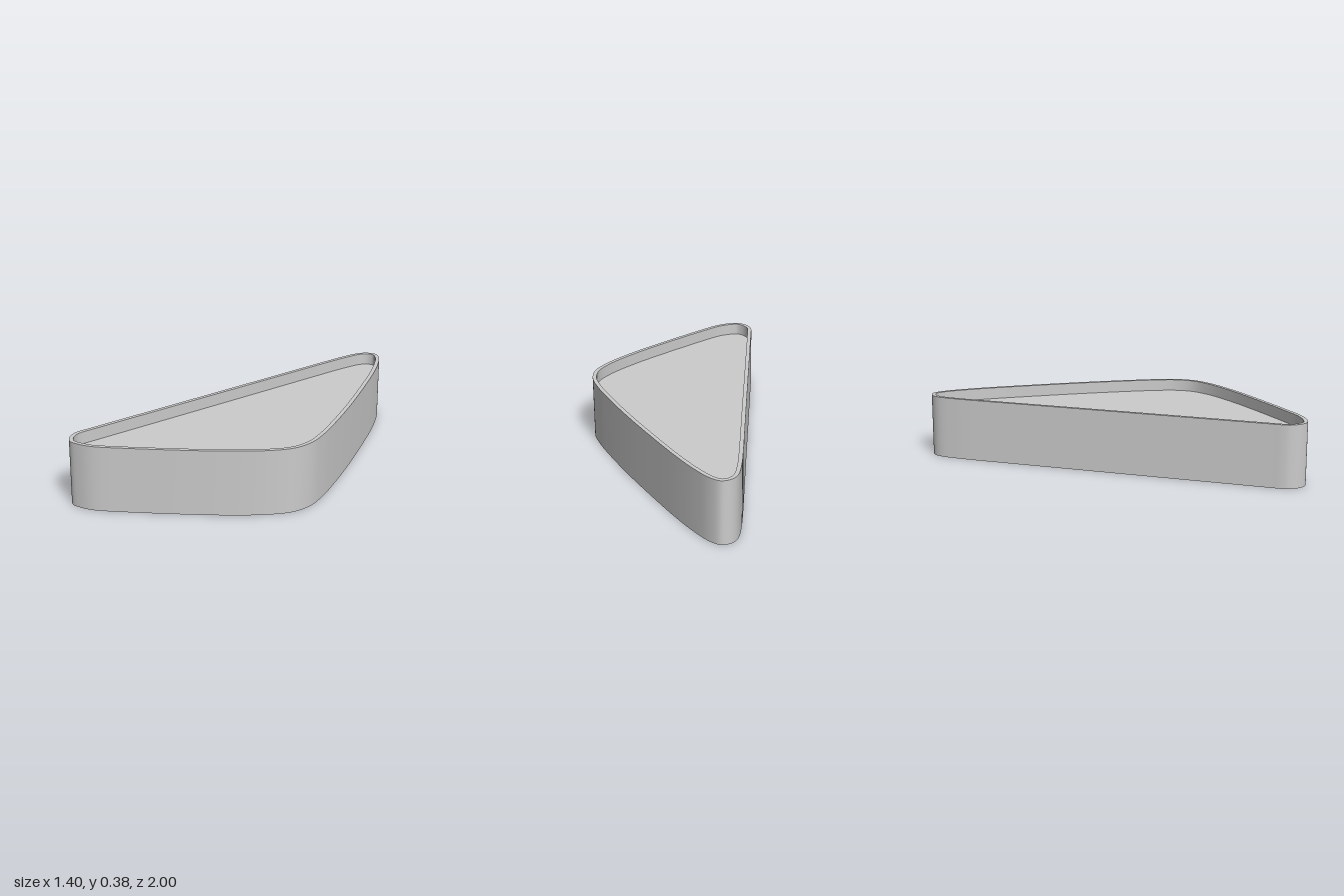
import * as THREE from 'three';

const HEIGHT = 0.38, FLOOR = 0.31, WALL = 0.024;

// Rounded triangular outline as x, z pairs, clockwise seen from above
const OUTLINE = [
  [-0.65, 0.765], [-0.6, 0.69], [0, -0.21], [0.4, -0.81], [0.45, -0.88], [0.52, -0.965],
  [0.56, -0.992], [0.6, -1], [0.645, -0.985], [0.676, -0.92], [0.693, -0.8], [0.7, -0.62],
  [0.695, -0.35], [0.68, 0], [0.655, 0.3], [0.633, 0.47], [0.6, 0.6], [0.53, 0.705],
  [0.4, 0.782], [0.2, 0.85], [0, 0.9], [-0.38, 0.978], [-0.53, 1], [-0.61, 0.99],
  [-0.67, 0.965], [-0.697, 0.91], [-0.697, 0.85], [-0.68, 0.81],
];

const material = new THREE.MeshStandardMaterial({ color: 0xcccccc });

// Closed strip between two loops of the same length
function strip(a, ya, b, yb) {
  const n = a.length, pos = [], index = [];
  a.forEach((p) => pos.push(p.x, ya, p.y));
  b.forEach((p) => pos.push(p.x, yb, p.y));
  for (let i = 0; i < n; i++) {
    const j = (i + 1) % n;
    index.push(i, n + i, j, j, n + i, n + j);
  }
  const g = new THREE.BufferGeometry();
  g.setAttribute('position', new THREE.Float32BufferAttribute(pos, 3));
  g.setIndex(index);
  g.computeVertexNormals();
  return g;
}

// Flat filled face, facing up or down
function cap(loop, y, up) {
  const s = up ? -1 : 1;
  const shape = new THREE.Shape(loop.map((p) => new THREE.Vector2(p.x, s * p.y)));
  return new THREE.ShapeGeometry(shape).rotateX(s * Math.PI / 2).translate(0, y, 0);
}

export function createModel() {
  const curve = new THREE.CatmullRomCurve3(
    OUTLINE.map(([x, z]) => new THREE.Vector3(x, 0, z)), true, 'centripetal');
  const outer = [], inner = [], n = OUTLINE.length * 5;
  for (let i = 0; i < n; i++) {
    const p = curve.getPoint(i / n), t = curve.getTangent(i / n);
    outer.push(new THREE.Vector2(p.x, p.z));
    inner.push(new THREE.Vector2(p.x - t.z * WALL, p.z + t.x * WALL));
  }

  const group = new THREE.Group();
  group.name = 'triangularTray';
  const add = (name, geometry) => {
    const mesh = new THREE.Mesh(geometry, material);
    mesh.name = name;
    group.add(mesh);
  };
  add('outerWall', strip(outer, 0, outer, HEIGHT));
  add('rim', strip(outer, HEIGHT, inner, HEIGHT));
  add('innerWall', strip(inner, HEIGHT, inner, FLOOR));
  add('recessedFloor', cap(inner, FLOOR, true));
  add('base', cap(outer, 0, false));
  return group;
}
